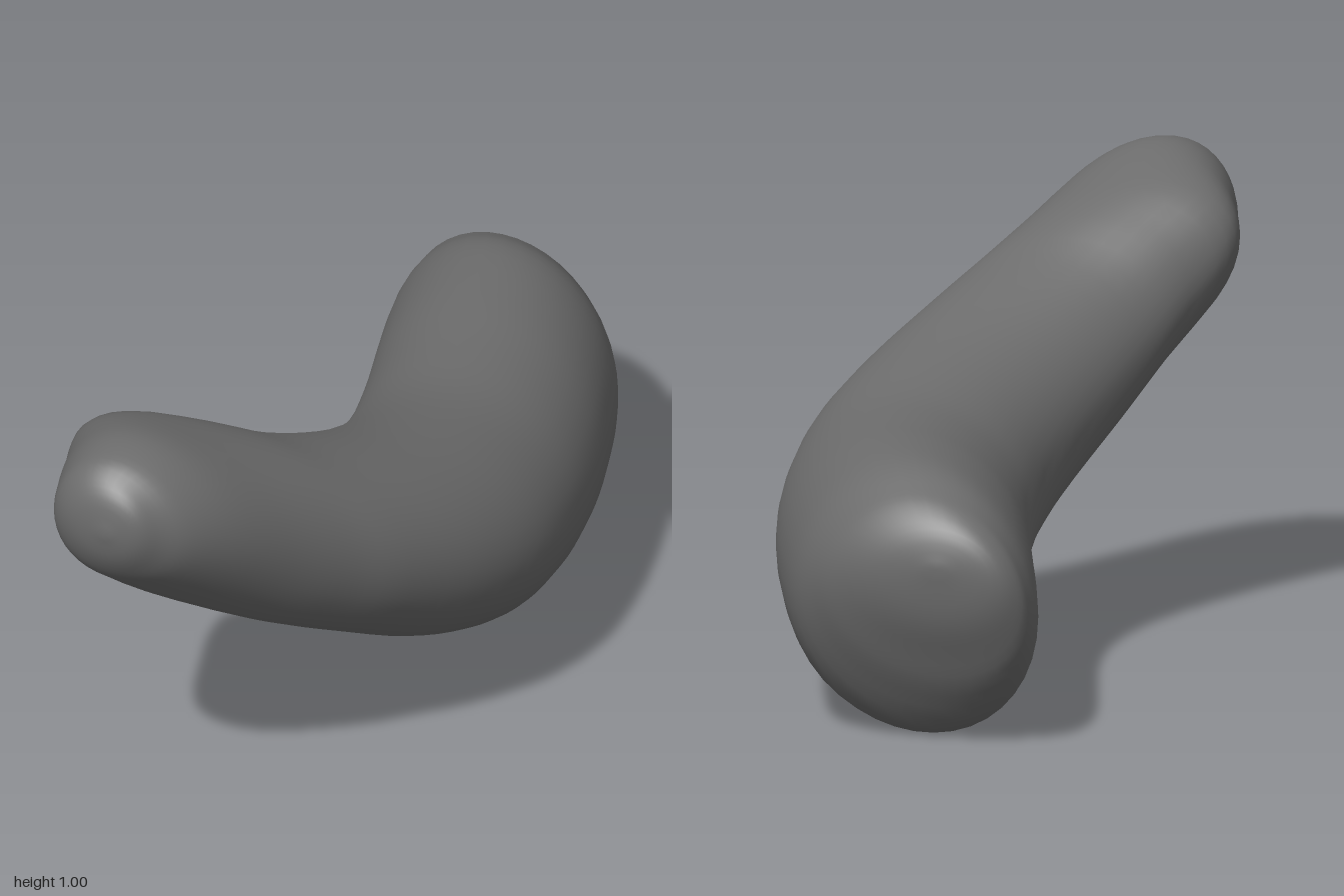
import * as THREE from 'three';
import { mergeVertices } from 'three/addons/utils/BufferGeometryUtils.js';

// Cross-sections along the body:
// z, xMin, xMax, yMin, yMax, skew of the upper left, skew of the lower right
const SECTIONS = [
  [-1, -0.18, -0.18, 0.4, 0.4, 0, 0],
  [-0.985, -0.3, -0.05, 0.29, 0.47, 0, 0.1],
  [-0.95, -0.35, 0.05, 0.2, 0.52, 0, 0.2],
  [-0.9, -0.365, 0.12, 0.1, 0.555, 0, 0.22],
  [-0.8, -0.355, 0.2, 0, 0.595, 0, 0.12],
  [-0.6, -0.29, 0.28, 0.028, 0.605, 0, 0],
  [-0.4, -0.23, 0.34, 0.06, 0.605, 0, 0],
  [-0.2, -0.185, 0.38, 0.095, 0.615, 0, 0],
  [0, -0.165, 0.395, 0.145, 0.655, -0.05, 0],
  [0.2, -0.19, 0.36, 0.225, 0.715, -0.09, -0.05],
  [0.4, -0.26, 0.28, 0.335, 0.8, -0.13, -0.15],
  [0.53, -0.33, 0.205, 0.41, 0.88, -0.17, -0.33],
  [0.65, -0.4, 0.14, 0.485, 0.945, -0.18, -0.45],
  [0.8, -0.365, 0.065, 0.59, 0.995, -0.18, -0.1],
  [0.9, -0.335, 0, 0.67, 0.99, -0.15, 0.05],
  [0.95, -0.31, -0.055, 0.715, 0.965, -0.1, 0.05],
  [0.985, -0.255, -0.1, 0.775, 0.92, 0, 0],
  [1, -0.17, -0.17, 0.845, 0.845, 0, 0],
];

// Smooth curve through one set of section values
const curveOf = (pick) => new THREE.CatmullRomCurve3(
  SECTIONS.map((s) => new THREE.Vector3(...pick(s))), false, 'catmullrom', 0.5);

function bodyGeometry(steps, sides) {
  const low = curveOf(([z, x0, , y0]) => [x0, y0, z]);
  const high = curveOf(([z, , x1, , y1]) => [x1, y1, z]);
  const skew = curveOf(([z, , , , , upper, lower]) => [upper, lower, z]);
  const positions = [], index = [];
  for (let i = 0; i <= steps; i++) {
    const t = i / steps;
    const a = low.getPoint(t), b = high.getPoint(t), k = skew.getPoint(t);
    for (let j = 0; j < sides; j++) {
      const u = (j / sides) * Math.PI * 2;
      // Each oval leans by a different amount on its two diagonal sides
      const phase = Math.asin(THREE.MathUtils.lerp(k.x, k.y, (1 - Math.cos(u - Math.PI / 4)) / 2));
      positions.push(
        (a.x + b.x) / 2 + (b.x - a.x) / 2 * Math.cos(u),
        (a.y + b.y) / 2 + (b.y - a.y) / 2 * Math.sin(u + phase),
        a.z);
      if (i < steps) {
        const p = i * sides + j, q = i * sides + (j + 1) % sides;
        index.push(p, q, p + sides, q, q + sides, p + sides);
      }
    }
  }
  const geometry = new THREE.BufferGeometry();
  geometry.setAttribute('position', new THREE.Float32BufferAttribute(positions, 3));
  geometry.setIndex(index);
  const merged = mergeVertices(geometry, 1e-5);
  merged.computeVertexNormals();
  return merged;
}

export function createModel() {
  const group = new THREE.Group();
  group.name = 'curvedSausage';
  // Bent, rounded body closed at both ends
  const body = new THREE.Mesh(
    bodyGeometry((SECTIONS.length - 1) * 4, 40),
    new THREE.MeshStandardMaterial({ color: 0x6c6c6c }));
  body.name = 'body';
  group.add(body);
  return group;
}
